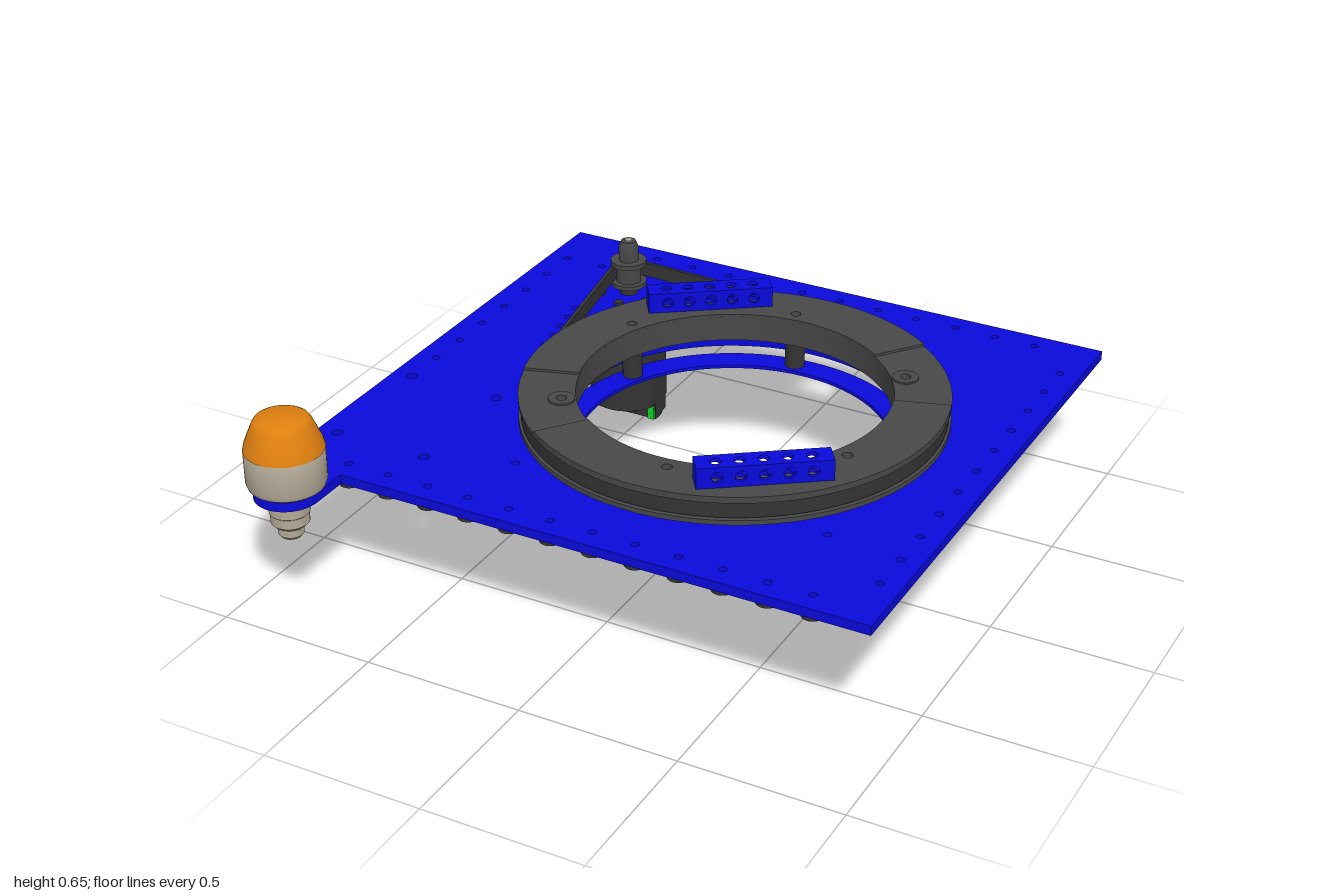
import * as THREE from 'three';
import { toCreasedNormals } from 'three/addons/utils/BufferGeometryUtils.js';

const mat = (color) => new THREE.MeshStandardMaterial({ color });
const BLUE = mat(0x0a0add), DARK = mat(0x484848), BLACK = mat(0x343434);
const BEIGE = mat(0xb5ab98), ORANGE = mat(0xe08010), GREEN = mat(0x08d820);
const TAU = Math.PI * 2;
const C = [0.13, -0.057];    // turntable centre (x, z)
const P = [-0.573, -0.675];  // drive shaft (x, z)
const V = (x, z) => new THREE.Vector2(x, z);

// Points on a circular arc in plan
const arc = ([cx, cz], r, a0, a1, n) => Array.from({ length: n + 1 }, (_, i) => {
  const a = a0 + (a1 - a0) * i / n;
  return V(cx + r * Math.cos(a), cz + r * Math.sin(a));
});
const circle = (c, r, n = 96) => arc(c, r, 0, TAU * (1 - 1 / n), n - 1);
const polar = ([cx, cz], r, a) => [cx + r * Math.cos(a), cz + r * Math.sin(a)];

export function createModel() {
  const model = new THREE.Group();
  const add = (name, geo, material, parent = model) => {
    const m = new THREE.Mesh(geo, material);
    m.name = name;
    parent.add(m);
    return m;
  };

  // Plan outline (x, z) with holes, raised from y0 to y1
  const slabGeo = (outline, holes, y0, y1) => {
    const s = new THREE.Shape(outline);
    holes.forEach((h) => s.holes.push(new THREE.Path(h)));
    const g = new THREE.ExtrudeGeometry(s, { depth: y1 - y0, bevelEnabled: false });
    return toCreasedNormals(g.rotateX(Math.PI / 2).translate(0, y1, 0), 0.6);
  };
  const slab = (name, outline, holes, y0, y1, material, parent) =>
    add(name, slabGeo(outline, holes, y0, y1), material, parent);
  const lathe = (name, profile, [x, z], material, n = 40) =>
    add(name, toCreasedNormals(new THREE.LatheGeometry(profile.map(([r, y]) => V(r, y)), n), 0.6), material)
      .position.set(x, 0, z);

  // Hole positions in the base plate
  const pitch = 0.1355, footed = [[-0.745, -0.8]], plain = [];
  for (let i = 0; i < 12; i++) {
    const x = -0.745 + i * pitch;
    footed.push([x, -0.935], [x, 0.69]);
  }
  for (let i = 0; i < 11; i++) {
    const z = -0.8 + i * pitch;
    footed.push([0.88, z]);
    if (i < 7) footed.push([-0.88, z]);
  }
  for (const [x, z] of [[-0.385, -0.505], [0.585, -0.57], [0.65, 0.395], [-0.32, 0.46]]) footed.push([x, z]);
  for (let i = 0; i < 7; i++) {
    plain.push([-0.41 + i * 0.0675, -0.79 + i * 0.0025]);
    plain.push([-0.67 + i * 0.0117, -0.49 + i * 0.0667]);
  }
  const large = [[-0.88, 0.15], [-0.575, 0.15], [-0.88, 0.555], [-0.575, 0.555]];

  // Base plate with rounded lamp tab
  const lamp = [-0.83, 0.875];
  slab('basePlate', [
    V(-0.945, -1), V(0.945, -1), V(0.945, 0.755), V(-0.73, 0.755),
    ...arc(lamp, 0.1, 0, Math.PI, 20), V(-0.93, 0.755), V(-0.945, 0.755),
  ], [
    circle(C, 0.548), circle([0.13, -0.795], 0.073, 32),
    ...footed.map((p) => circle(p, 0.012, 12)),
    ...plain.map((p) => circle(p, 0.013, 12)),
    ...large.map((p) => circle(p, 0.017, 12)),
  ], 0.4, 0.43, BLUE);

  // Hollow feet under the plate
  const feet = new THREE.Group();
  feet.name = 'feet';
  model.add(feet);
  const footGeo = slabGeo(circle([0, 0], 0.033, 20), [circle([0, 0], 0.012, 12)], 0.366, 0.4);
  for (const [x, z] of footed) add('foot', footGeo, BLACK, feet).position.set(x, 0, z);

  // Turntable ring: flanges, toothed groove and clamp ring
  const bolts = Array.from({ length: 6 }, (_, i) => polar(C, 0.515, -0.615 + i * TAU / 6));
  const boltHoles = bolts.map((p) => circle(p, 0.016, 14));
  const ringHoles = [circle(C, 0.472), ...boltHoles];
  const teeth = Array.from({ length: 480 }, (_, i) =>
    V(...polar(C, i % 4 < 2 ? 0.624 : 0.61, i * TAU / 480)));
  slab('lowerFlange', circle(C, 0.643), ringHoles, 0.46, 0.475, DARK);
  slab('toothedRing', teeth, ringHoles, 0.475, 0.53, DARK);
  slab('upperFlange', circle(C, 0.643), ringHoles, 0.53, 0.542, DARK);
  slab('clampRing', circle(C, 0.553), ringHoles, 0.36, 0.371, BLUE);
  // Raised halves leave two shallow joints on the ring
  for (const side of [0, 1]) {
    const mid = -0.615 + Math.PI / 2 + side * Math.PI, half = Math.PI / 2 - 0.31;
    const inHalf = bolts.filter(([x, z]) => Math.cos(Math.atan2(z - C[1], x - C[0]) - mid) > 0.4);
    slab('ringTop', [
      ...arc(C, 0.643, mid - half, mid + half, 48),
      ...arc(C, 0.472, mid + half, mid - half, 48),
    ], inHalf.map((p) => circle(p, 0.016, 14)), 0.542, 0.55, DARK);
  }
  // Tongue around the bolt at each joint
  for (const i of [0, 3]) {
    slab('jointTongue', circle(bolts[i], 0.04, 28), [circle(bolts[i], 0.016, 14)], 0.542, 0.547, DARK);
  }
  for (const b of bolts) slab('spacer', circle(b, 0.031, 24), [circle(b, 0.016, 14)], 0.371, 0.46, BLACK);

  // Drilled square bars on top of the ring
  const L = 0.39, W = 0.073, H = 0.065, T = 0.012;
  const wall = (w) => slabGeo(
    [V(-L / 2, -w / 2), V(L / 2, -w / 2), V(L / 2, w / 2), V(-L / 2, w / 2)],
    [-2, -1, 0, 1, 2].map((i) => circle([i * 0.068, 0], 0.017, 16)), -T / 2, T / 2);
  const flat = wall(W), upright = wall(H).rotateX(Math.PI / 2);
  for (const s of [-1, 1]) {
    const bar = new THREE.Group();
    bar.name = 'drilledBar';
    for (const k of [-1, 1]) {
      add('barFace', flat, BLUE, bar).position.y = k * (H - T) / 2;
      add('barSide', upright, BLUE, bar).position.z = k * (W - T) / 2;
      add('barEnd', new THREE.BoxGeometry(T, H - T, W - T), BLUE, bar).position.x = k * (L - T) / 2;
    }
    bar.position.set(C[0] + s * 0.315, 0.55 + H / 2, C[1] + s * 0.443);
    bar.rotation.y = 0.617;
    model.add(bar);
  }

  // Drive belt around ring and pulley
  const a = Math.atan2(P[1] - C[1], P[0] - C[0]);
  const b = Math.acos((0.624 - 0.04) / Math.hypot(P[0] - C[0], P[1] - C[1]));
  const loop = (t) => [
    ...arc(C, 0.624 + t, a + b, a - b + TAU, 96),
    ...arc(P, 0.04 + t, a - b + TAU, a + b + TAU, 20),
  ];
  slab('belt', loop(0.012), [loop(0)], 0.48, 0.527, BLACK);

  // Pulley with flanges, hub and shaft
  lathe('pulley', [[0, 0.46], [0.058, 0.46], [0.058, 0.474], [0.04, 0.474], [0.04, 0.532],
    [0.058, 0.532], [0.058, 0.548], [0.032, 0.548], [0.032, 0.595], [0.024, 0.615], [0, 0.615]], P, DARK);
  lathe('pulleyHub', [[0, 0.43], [0.03, 0.43], [0.03, 0.46], [0, 0.46]], P, BLACK);
  lathe('shaftEnd', [[0.012, 0.614], [0.012, 0.619], [0, 0.619]], P, BEIGE, 16);
  for (let i = 0; i < 6; i++) {
    lathe('motorScrew', [[0.015, 0.43], [0.015, 0.437], [0.009, 0.441], [0, 0.441]],
      polar(P, 0.092, 0.4 + i * TAU / 6), BLACK, 14);
  }

  // Motor body with flat sides, stepped bottom and green contacts
  const M = [-0.57, -0.657], R = 0.127;
  const clip = (pts) => pts.map((p) => V(Math.min(Math.max(p.x, M[0] - 0.115), M[0] + 0.115), p.y));
  slab('motorBody', clip(circle(M, R, 48)), [], 0.06, 0.4, BLACK);
  slab('motorCap', clip(arc(M, R - 0.003, Math.PI - 0.18, TAU + 0.18, 32)), [], 0.012, 0.06, BLACK);
  slab('motorBase', clip(arc(M, R - 0.012, Math.PI - 0.18, TAU + 0.18, 32)), [], 0, 0.012, BLACK);
  for (const s of [-1, 1]) {
    add('contact', new THREE.BoxGeometry(0.024, 0.044, 0.012), GREEN)
      .position.set(M[0] + s * 0.1, 0.024, -0.633);
    add('contactRib', new THREE.BoxGeometry(0.04, 0.02, 0.05), BLACK)
      .position.set(M[0] + s * 0.05, 0.05, -0.612);
  }

  // Signal lamp: dome, housing and threaded stem
  lathe('lampDome', [[0.118, 0.555], [0.113, 0.575], [0.088, 0.635], [0.08, 0.648],
    [0.068, 0.655], [0, 0.655]], lamp, ORANGE);
  lathe('lampHousing', [[0, 0.43], [0.098, 0.43], [0.112, 0.439], [0.118, 0.455],
    [0.118, 0.545], [0.113, 0.56], [0, 0.56]], lamp, BEIGE);
  lathe('lampStem', [[0, 0.305], [0.048, 0.305], [0.057, 0.315], [0.057, 0.345],
    [0.06, 0.348], [0.06, 0.4], [0, 0.4]], lamp, BEIGE);
  lathe('lampTip', [[0, 0.265], [0.03, 0.265], [0.038, 0.275], [0.038, 0.305]], lamp, BEIGE, 24);
  return model;
}
